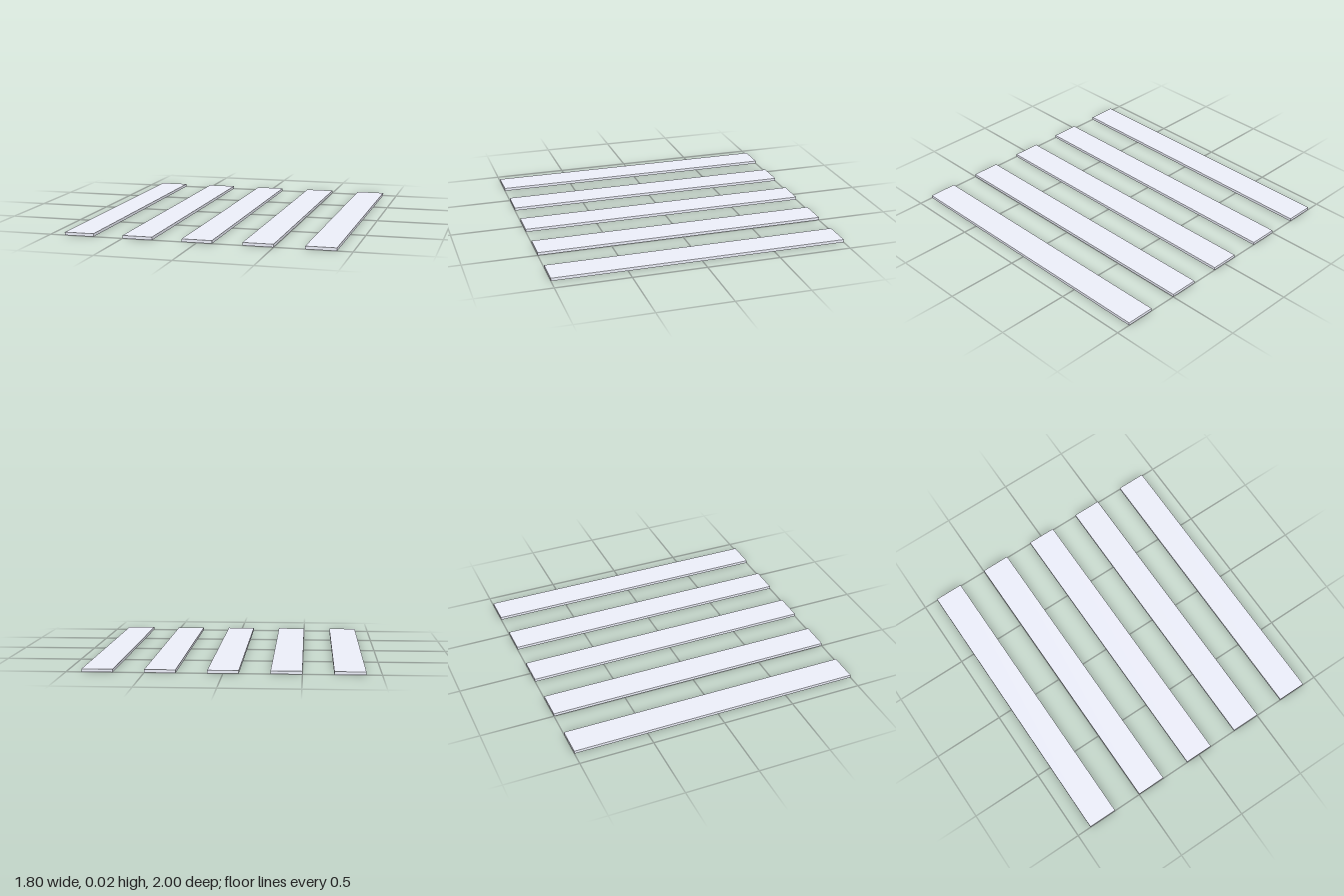
import * as THREE from 'three';

const COUNT = 5;
const WIDTH = 0.2;
const THICKNESS = 0.02;
const LENGTH = 2;
const SPACING = 0.4;

export function createModel() {
  const model = new THREE.Group();
  model.name = 'slats';

  // Pale, slightly bluish white
  const material = new THREE.MeshStandardMaterial({ color: 0xedeffa });
  const geometry = new THREE.BoxGeometry(WIDTH, THICKNESS, LENGTH);

  // Evenly spaced parallel slats lying flat on the ground
  for (let i = 0; i < COUNT; i++) {
    const slat = new THREE.Mesh(geometry, material);
    slat.name = `slat${i + 1}`;
    slat.position.set((i - (COUNT - 1) / 2) * SPACING, THICKNESS / 2, 0);
    model.add(slat);
  }

  return model;
}
